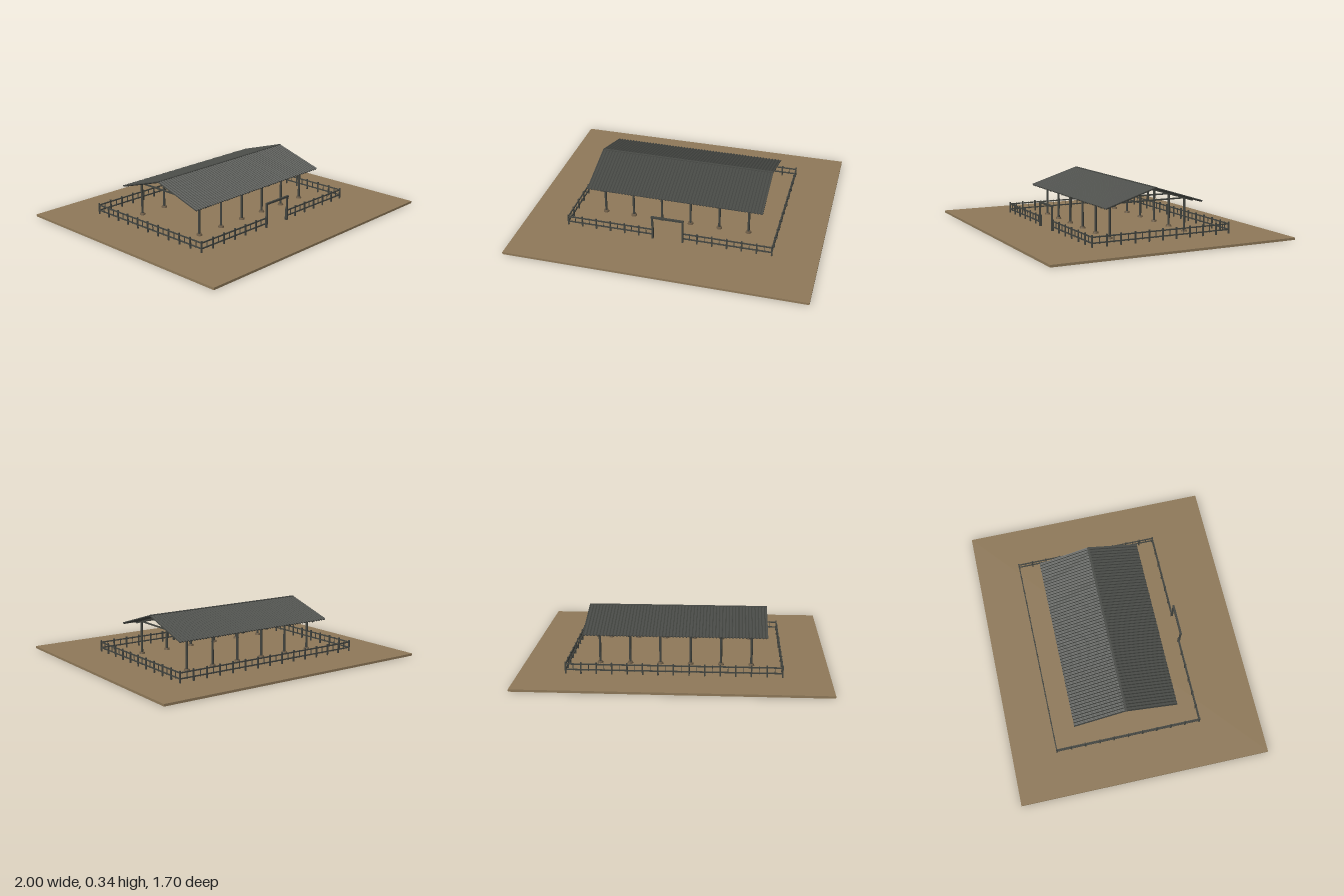
import * as THREE from 'three';

const mat = (name, color) => {
  const m = new THREE.MeshStandardMaterial({ color, flatShading: true });
  m.name = name;
  return m;
};

export function createModel() {
  const model = new THREE.Group();
  model.name = 'openPavilion';
  const earth = mat('earth', 0x8f7959);
  const footing = mat('footing', 0x6e5d47);
  const steel = mat('darkSteel', 0x434540);
  const roofing = mat('roofSheet', 0x494b47);
  const ground = 0.015, ridgeZ = -0.05;

  const add = (parent, name, geo, material, x, y, z) => {
    const m = new THREE.Mesh(geo, material);
    m.name = name;
    m.position.set(x, y, z);
    parent.add(m);
    return m;
  };
  const box = (parent, name, w, h, d, x, y, z, material = steel) =>
    add(parent, name, new THREE.BoxGeometry(w, h, d), material, x, y, z);

  box(model, 'groundSlab', 2, ground, 1.7, 0, ground / 2, 0, earth);

  // Columns on round footings, with a truss over every pair
  const slope = Math.atan2(0.108, 0.35);
  const columnX = [-0.5, -0.3, -0.1, 0.1, 0.3, 0.5];
  for (const x of columnX) {
    for (const side of [-1, 1]) {
      const z = ridgeZ + side * 0.276;
      add(model, 'column', new THREE.CylinderGeometry(0.008, 0.008, 0.225, 12), steel, x, 0.1275, z);
      add(model, 'columnFooting', new THREE.CylinderGeometry(0.017, 0.02, 0.012, 12), footing, x, ground + 0.006, z);
      const rafter = box(model, 'rafter', 0.01, 0.01, 0.35, x, 0.271, ridgeZ + side * 0.172);
      rafter.rotation.x = side * slope;
    }
    box(model, 'tieBeam', 0.01, 0.009, 0.56, x, 0.24, ridgeZ);
    box(model, 'kingPost', 0.01, 0.085, 0.01, x, 0.282, ridgeZ);
  }
  for (const side of [-1, 1])
    box(model, 'eaveBeam', 1.02, 0.009, 0.01, 0, 0.24, ridgeZ + side * 0.276);

  // Corrugated sheets: a wavy strip extruded down each slope
  const ribs = 56, perRib = 6, steps = ribs * perRib, half = 0.603;
  const wave = (i) => 0.0035 * Math.cos((i / perRib) * Math.PI * 2);
  const strip = new THREE.Shape();
  for (let i = 0; i <= steps; i++) {
    const x = -half + (2 * half * i) / steps;
    if (i) strip.lineTo(x, wave(i) + 0.003);
    else strip.moveTo(x, wave(i) + 0.003);
  }
  for (let i = steps; i >= 0; i--)
    strip.lineTo(-half + (2 * half * i) / steps, wave(i) - 0.003);
  const sheet = new THREE.ExtrudeGeometry(strip, { depth: 0.366, bevelEnabled: false });
  for (const turn of [0, Math.PI]) {
    const side = new THREE.Group();
    side.name = 'roofSlope';
    side.position.set(0, 0.334, ridgeZ);
    side.rotation.y = turn;
    add(side, 'corrugatedSheet', sheet, roofing, 0, 0, 0).rotation.x = slope;
    model.add(side);
  }
  box(model, 'ridgeCap', 2 * half, 0.006, 0.014, 0, 0.338, ridgeZ, roofing);

  // Fence run from one corner to another: posts, two rails and short pickets
  const fence = (x0, z0, x1, z1) => {
    const run = new THREE.Group();
    run.name = 'fenceRun';
    const length = Math.hypot(x1 - x0, z1 - z0);
    run.position.set(x0, 0, z0);
    run.rotation.y = -Math.atan2(z1 - z0, x1 - x0);
    const bays = Math.round(length / 0.1), bay = length / bays;
    for (let i = 0; i <= bays; i++) {
      box(run, 'fencePost', 0.009, 0.077, 0.009, i * bay, ground + 0.0385, 0);
      if (i < bays) box(run, 'fencePicket', 0.004, 0.05, 0.005, (i + 0.5) * bay, 0.06, 0);
    }
    for (const y of [0.042, 0.079])
      box(run, 'fenceRail', length, 0.008, 0.007, length / 2, y, 0);
    model.add(run);
  };
  const fx = 0.695, front = 0.443, back = -0.547;
  fence(-fx, back, fx, back);
  fence(-fx, back, -fx, front);
  fence(fx, back, fx, front);
  fence(-fx, front, -0.1, front);
  fence(0.1, front, fx, front);

  // Entrance gateway
  for (const x of [-0.102, 0.102])
    box(model, 'gatePost', 0.011, 0.168, 0.011, x, ground + 0.084, 0.45);
  box(model, 'gateLintel', 0.222, 0.012, 0.014, 0, 0.181, 0.451);

  return model;
}
